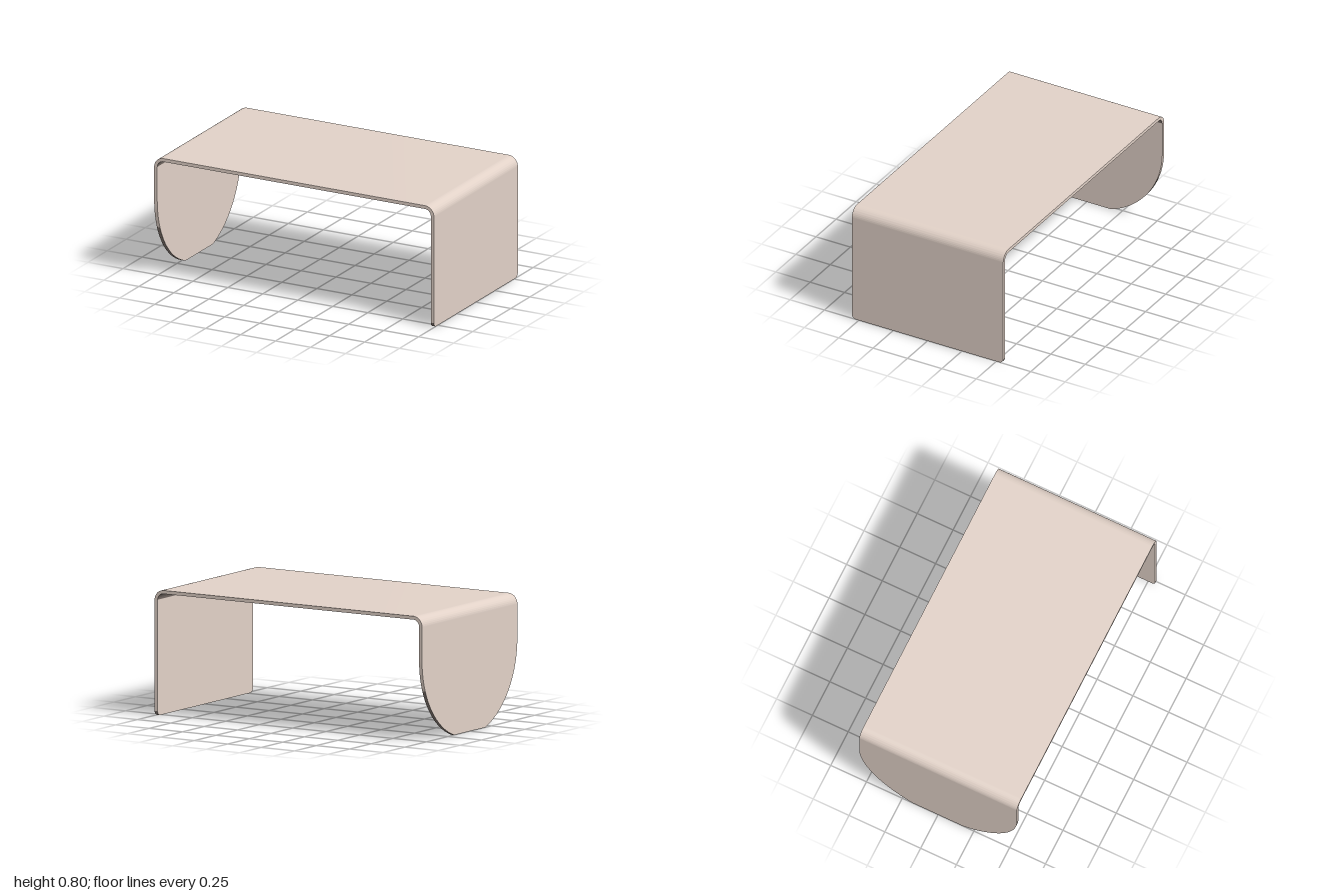
import * as THREE from 'three';
import { toCreasedNormals } from 'three/addons/utils/BufferGeometryUtils.js';

const HEIGHT = 0.8, DEPTH = 1.1, THICK = 0.022, BEND = 0.065;
const HALF = DEPTH / 2, JOINT = HEIGHT - BEND;

function extrude(shape, depth) {
  const geometry = new THREE.ExtrudeGeometry(shape, { depth, bevelEnabled: false, curveSegments: 32 });
  return toCreasedNormals(geometry, 0.3);
}

// Gives faces that point downward past the limit the second material
function paintUnderside(geometry, limit) {
  const p = geometry.attributes.position;
  const tri = new THREE.Triangle(), normal = new THREE.Vector3();
  geometry.clearGroups();
  for (let i = 0; i < p.count; i += 3) {
    tri.setFromAttributeAndIndices(p, i, i + 1, i + 2).getNormal(normal);
    geometry.addGroup(i, 3, normal.y < limit ? 1 : 0);
  }
  return geometry;
}

// Table top with both bends, drawn as a front profile
function topProfile() {
  const c = 1 - BEND, inner = BEND - THICK;
  const s = new THREE.Shape();
  s.moveTo(1, JOINT);
  s.absarc(c, JOINT, BEND, 0, Math.PI / 2, false);
  s.absarc(-c, JOINT, BEND, Math.PI / 2, Math.PI, false);
  s.absarc(-c, JOINT, inner, Math.PI, Math.PI / 2, true);
  s.absarc(c, JOINT, inner, Math.PI / 2, 0, true);
  s.closePath();
  return s;
}

// Leg panel: straight edges running into arcs centred at centreY, cut flat at the floor
function panelShape(radius, centreY) {
  const z = HALF - radius;
  const drop = Math.asin(centreY / radius);
  const s = new THREE.Shape();
  s.moveTo(HALF, JOINT);
  s.lineTo(-HALF, JOINT);
  s.absarc(-z, centreY, radius, Math.PI, Math.PI + drop, false);
  s.absarc(z, centreY, radius, -drop, 0, false);
  s.closePath();
  return s;
}

export function createModel() {
  const group = new THREE.Group();
  group.name = 'bentSheetTable';
  const light = new THREE.MeshStandardMaterial({ color: 0xe1d1c7 });
  light.name = 'paleBeige';
  const dark = new THREE.MeshStandardMaterial({ color: 0x796e68 });
  dark.name = 'darkTaupe';

  const add = (name, geometry, limit) => {
    const mesh = new THREE.Mesh(paintUnderside(geometry, limit), [light, dark]);
    mesh.name = name;
    group.add(mesh);
  };

  add('tableTop', extrude(topProfile(), DEPTH).translate(0, 0, -HALF), -0.05);

  // Left leg is nearly rectangular, right leg is a half disc with a flat foot
  const panel = (shape, outerX) => extrude(shape, THICK).rotateY(-Math.PI / 2).translate(outerX, 0, 0);
  add('leftLegPanel', panel(panelShape(0.03, 0.03), 1), -0.02);
  add('rightLegPanel', panel(panelShape(HALF, 0.52), -1 + THICK), -0.36);
  return group;
}
